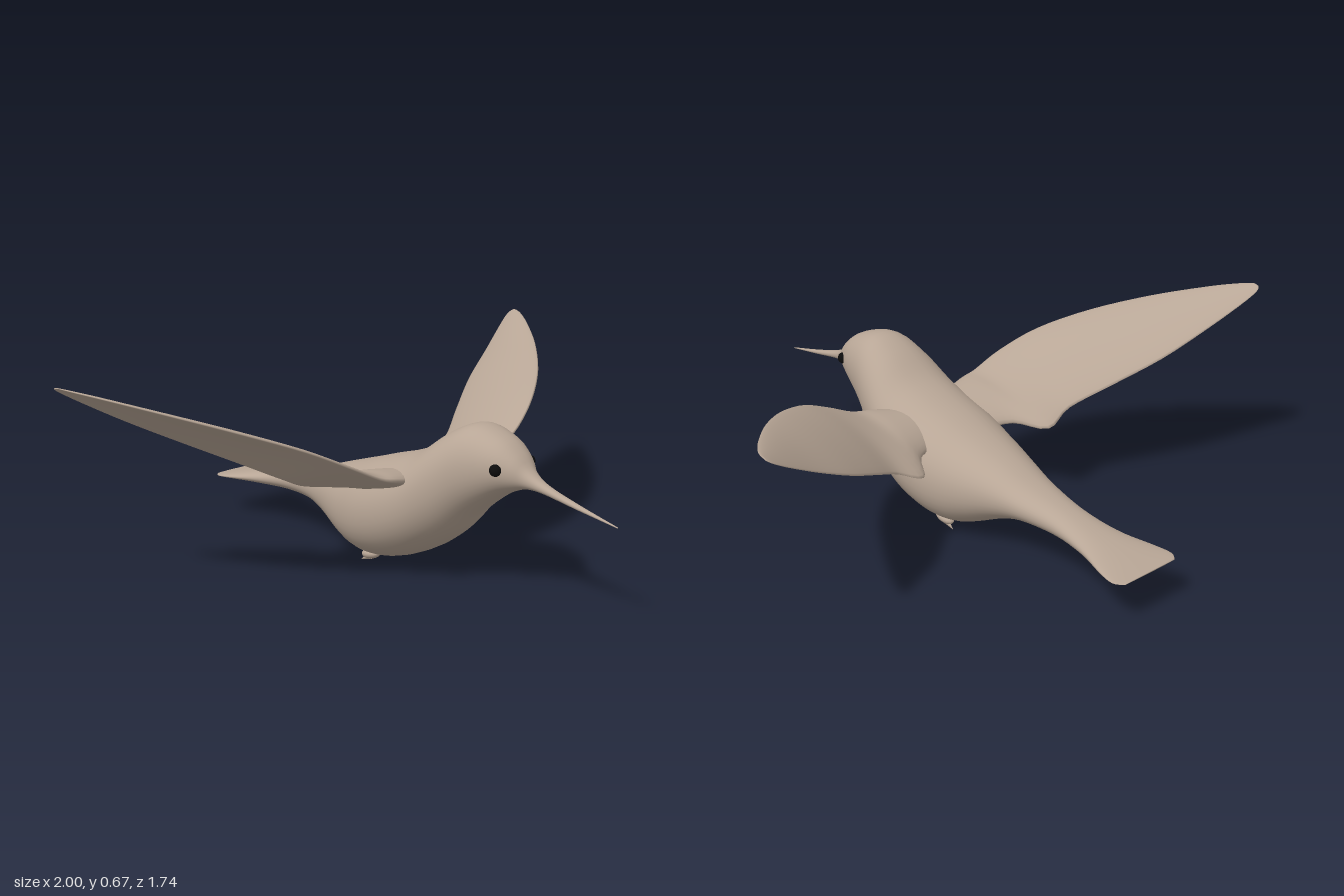
import * as THREE from 'three';

const plumage = new THREE.MeshStandardMaterial({ color: 0xb8a696 });
const dark = new THREE.MeshStandardMaterial({ color: 0x0c0c0c });

// Smoothly resample a list of stations (each a row of numbers)
function resample(rows, steps) {
  const out = [];
  const last = rows.length - 1;
  for (let i = 0; i < last; i++) {
    const a = rows[Math.max(i - 1, 0)], b = rows[i], c = rows[i + 1], d = rows[Math.min(i + 2, last)];
    for (let s = 0; s < steps; s++) {
      const t = s / steps;
      out.push(b.map((v, k) => 0.5 * (2 * v + (c[k] - a[k]) * t
        + (2 * a[k] - 5 * v + 4 * c[k] - d[k]) * t * t
        + (3 * v - a[k] - 3 * c[k] + d[k]) * t * t * t)));
    }
  }
  out.push(rows[last]);
  return out;
}

// Skin a series of closed rings, point(row, angle) -> [x, y, z], and close both ends
function loft(rows, sides, point) {
  const pos = [], idx = [];
  rows.forEach((row) => {
    for (let j = 0; j < sides; j++) pos.push(...point(row, (j / sides) * Math.PI * 2));
  });
  for (let i = 0; i < rows.length - 1; i++) {
    for (let j = 0; j < sides; j++) {
      const k = (j + 1) % sides;
      const a = i * sides + j, b = i * sides + k;
      idx.push(a, a + sides, b, b, a + sides, b + sides);
    }
  }
  const end = (rows.length - 1) * sides;
  for (let j = 1; j < sides - 1; j++) {
    idx.push(0, j, j + 1, end, end + j + 1, end + j);
  }
  const geo = new THREE.BufferGeometry();
  geo.setAttribute('position', new THREE.Float32BufferAttribute(pos, 3));
  geo.setIndex(idx);
  geo.computeVertexNormals();
  return geo;
}

function add(group, name, geo, material) {
  const mesh = new THREE.Mesh(geo, material);
  mesh.name = name;
  group.add(mesh);
  return mesh;
}

const power = (v, p) => Math.sign(v) * Math.abs(v) ** p;

// Bill, head, trunk and tail: z, top, bottom, half width
const bodyStations = [
  [0.865, 0.324, 0.321, 0.002],
  [0.72, 0.358, 0.343, 0.010],
  [0.60, 0.392, 0.363, 0.018],
  [0.54, 0.425, 0.366, 0.034],
  [0.50, 0.468, 0.355, 0.062],
  [0.44, 0.510, 0.325, 0.092],
  [0.34, 0.535, 0.250, 0.125],
  [0.25, 0.500, 0.160, 0.155],
  [0.15, 0.430, 0.088, 0.184],
  [0.05, 0.390, 0.042, 0.196],
  [-0.05, 0.360, 0.020, 0.192],
  [-0.13, 0.334, 0.024, 0.175],
  [-0.20, 0.312, 0.050, 0.155],
  [-0.30, 0.280, 0.098, 0.120],
  [-0.40, 0.245, 0.130, 0.093],
  [-0.54, 0.215, 0.134, 0.071],
  [-0.67, 0.188, 0.130, 0.083],
  [-0.78, 0.166, 0.134, 0.118],
  [-0.84, 0.153, 0.139, 0.129],
  [-0.87, 0.147, 0.143, 0.108],
];

// Wing stations: x, leading z, leading y, trailing z, trailing y, half thickness
const wingStations = [
  [0.10, 0.16, 0.33, -0.04, 0.28, 0.040],
  [0.20, 0.18, 0.355, -0.09, 0.29, 0.030],
  [0.27, 0.18, 0.375, -0.185, 0.278, 0.020],
  [0.37, 0.165, 0.425, -0.18, 0.322, 0.017],
  [0.50, 0.110, 0.490, -0.25, 0.390, 0.015],
  [0.65, 0.005, 0.550, -0.33, 0.468, 0.013],
  [0.80, -0.14, 0.605, -0.385, 0.548, 0.010],
  [0.92, -0.285, 0.647, -0.427, 0.618, 0.007],
  [0.98, -0.37, 0.667, -0.443, 0.655, 0.004],
  [1.00, -0.412, 0.674, -0.437, 0.669, 0.002],
];

export function createModel() {
  const bird = new THREE.Group();
  bird.name = 'bird';

  add(bird, 'body', loft(resample(bodyStations, 4), 40, ([z, top, bottom, w], a) => [
    w * power(Math.cos(a), 0.88),
    (top + bottom) / 2 + ((top - bottom) / 2) * power(Math.sin(a), 0.95),
    z,
  ]), plumage);

  for (const side of [1, -1]) {
    const label = side > 0 ? 'left' : 'right';

    // Wing: thin leaf section, slightly arched between its edges
    add(bird, label + 'Wing', loft(resample(wingStations, 4), 24, ([x, lz, ly, tz, ty, h], angle) => {
      const a = angle * side;
      const t = (1 + Math.cos(a)) / 2;
      const arch = 0.05 * (lz - tz) * (1 - Math.cos(a) ** 2);
      return [side * x, ty + (ly - ty) * t + h * Math.sin(a) + arch, tz + (lz - tz) * t];
    }), plumage);

    // Eye
    const eye = add(bird, label + 'Eye', new THREE.SphereGeometry(0.019, 20, 14), dark);
    eye.position.set(side * 0.076, 0.424, 0.466);

    // Tucked foot and its small claw
    const foot = add(bird, label + 'Foot', new THREE.SphereGeometry(1, 16, 10), plumage);
    foot.scale.set(0.022, 0.017, 0.04);
    foot.position.set(side * 0.085, 0.031, -0.07);
    foot.rotation.x = -0.2;
    const claw = add(bird, label + 'Claw', new THREE.ConeGeometry(0.013, 0.05, 8), plumage);
    claw.position.set(side * 0.088, 0.013, -0.092);
    claw.rotation.x = -Math.PI / 2 - 0.5;
  }
  return bird;
}
